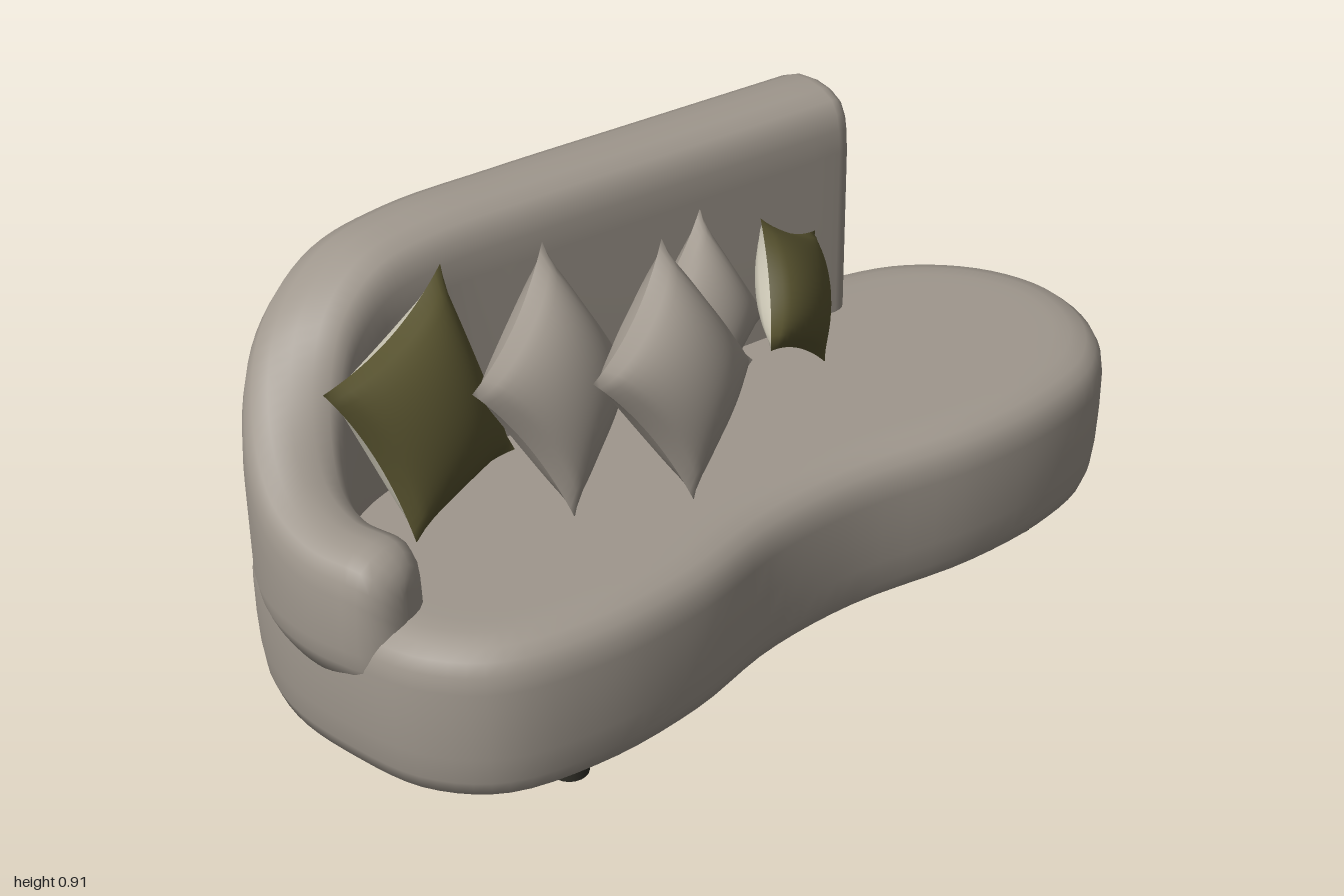
import * as THREE from 'three';

const V3 = (x, y, z) => new THREE.Vector3(x, y, z);

// Skin a list of closed rings and cap both ends
function loft(rings) {
  const n = rings[0].length, m = rings.length, index = [];
  const centre = (ring) => ring.reduce((s, p) => s.add(p), V3(0, 0, 0)).divideScalar(n);
  const points = [...rings.flat(), centre(rings[0]), centre(rings[m - 1])];
  for (let i = 0; i < n; i++) {
    const k = (i + 1) % n;
    for (let j = 0; j < m - 1; j++) {
      const a = j * n + i, b = j * n + k;
      index.push(a, a + n, b, b, a + n, b + n);
    }
    index.push(m * n, i, k, m * n + 1, (m - 1) * n + k, (m - 1) * n + i);
  }
  const g = new THREE.BufferGeometry().setFromPoints(points);
  g.setIndex(index);
  g.computeVertexNormals();
  return g;
}

// Kidney-shaped seat: plan outline, inset by a rounded side profile
function seatGeometry() {
  const plan = [
    [0.995, -0.03], [0.95, 0.15], [0.83, 0.275], [0.65, 0.335], [0.42, 0.352], [0.13, 0.325], [-0.1, 0.345],
    [-0.33, 0.41], [-0.57, 0.435], [-0.78, 0.4], [-0.9, 0.29], [-0.96, 0.12], [-0.985, -0.06], [-0.95, -0.22],
    [-0.85, -0.33], [-0.65, -0.39], [-0.3, -0.4], [0.2, -0.4], [0.6, -0.395], [0.8, -0.335], [0.94, -0.2],
  ];
  const profile = [
    [0.08, 0.045], [0.045, 0.046], [0.022, 0.056], [0.01, 0.09], [0.003, 0.15], [0, 0.22], [0, 0.3],
    [0.005, 0.335], [0.018, 0.36], [0.04, 0.378], [0.075, 0.388], [0.11, 0.39], [0.15, 0.39],
  ];
  const curve = new THREE.CatmullRomCurve3(plan.map(([x, z]) => V3(x, 0, z)), true);
  const count = 96;
  return loft(profile.map(([inset, y]) => Array.from({ length: count }, (_, i) => {
    const p = curve.getPoint(i / count), t = curve.getTangent(i / count);
    return V3(p.x - t.z * inset, y, p.z + t.x * inset);
  })));
}

// Backrest sweeping round into a low arm; the path's y is the top height
function backGeometry() {
  const path = new THREE.CatmullRomCurve3([
    [0.5, 0.905, -0.324], [0.1, 0.905, -0.325], [-0.25, 0.905, -0.325], [-0.5, 0.9, -0.322], [-0.66, 0.875, -0.3],
    [-0.79, 0.8, -0.24], [-0.87, 0.68, -0.155], [-0.908, 0.57, -0.05], [-0.905, 0.533, 0.05], [-0.878, 0.528, 0.135],
  ].map((p) => V3(...p)));
  const bottom = 0.255;

  const ring = (t, extend, inset) => {
    const p = path.getPoint(t), dir = path.getTangent(t).setY(0).normalize();
    const blend = THREE.MathUtils.clamp((p.y - 0.53) / 0.375, 0, 1);
    const w = THREE.MathUtils.lerp(0.088, 0.111, blend) - inset, top = p.y - inset;
    const half = [
      [0.78, bottom], [0.93, bottom + 0.04], [1, bottom + 0.08], [1, top - 0.13], [0.97, top - 0.08],
      [0.9, top - 0.047], [0.74, top - 0.02], [0.42, top - 0.005],
    ];
    const section = [...half, [0, top], ...half.slice().reverse().map(([u, y]) => [-u, y])];
    return section.map(([u, y]) => V3(
      p.x + dir.x * extend - dir.z * u * w, y, p.z + dir.z * extend + dir.x * u * w));
  };

  const rings = [], steps = 5, count = 54;
  const round = (t, r, sign, k) => {
    const a = (k / steps) * Math.PI / 2;
    rings.push(ring(t, sign * r * Math.sin(a), r * (1 - Math.cos(a))));
  };
  for (let k = steps; k > 0; k--) round(0, 0.045, -1, k);
  for (let i = 0; i <= count; i++) rings.push(ring(i / count, 0, 0));
  for (let k = 1; k <= steps; k++) round(1, 0.075, 1, k);
  return loft(rings);
}

// One puffed half of a pillow stretched between four corners; side is 1 front, -1 back
function pillowHalf([tl, tr, br, bl], thickness, side) {
  const mix = (a, b, c, d) => V3(0, 0, 0).addScaledVector(tl, a).addScaledVector(tr, b)
    .addScaledVector(br, c).addScaledVector(bl, d).multiplyScalar(0.25);
  const centre = mix(1, 1, 1, 1), right = mix(-1, 1, 1, -1), up = mix(1, 1, -1, -1), twist = mix(-1, 1, -1, 1);
  const normal = right.clone().cross(up).normalize().multiplyScalar(side * thickness);
  const g = new THREE.PlaneGeometry(2, 2, 18, 18), pos = g.attributes.position;
  for (let i = 0; i < pos.count; i++) {
    const a = pos.getX(i) * side, b = pos.getY(i);
    const u = a * (1 - 0.13 * a * a * (1 - b * b)), v = b * (1 - 0.13 * b * b * (1 - a * a));
    const puff = Math.pow(Math.max(0, (1 - a * a) * (1 - b * b)), 0.6);
    const p = centre.clone().addScaledVector(right, u).addScaledVector(up, v)
      .addScaledVector(twist, u * v).addScaledVector(normal, puff);
    pos.setXYZ(i, p.x, p.y, p.z);
  }
  g.computeVertexNormals();
  return g;
}

export function createModel() {
  const material = (name, color) => {
    const m = new THREE.MeshStandardMaterial({ color });
    m.name = name;
    return m;
  };
  const fabric = material('greyFabric', 0x9f978d);
  const olive = material('oliveFabric', 0x58532f);
  const cream = material('creamFabric', 0xd0cbb9);
  const dark = material('darkWood', 0x2f2e27);

  const model = new THREE.Group();
  model.name = 'sofa';
  const add = (parent, name, geometry, mat) => {
    const mesh = new THREE.Mesh(geometry, mat);
    mesh.name = name;
    parent.add(mesh);
    return mesh;
  };

  add(model, 'seat', seatGeometry(), fabric);
  add(model, 'backrestAndArm', backGeometry(), fabric);

  // Pillows: corners run top left, top right, bottom right, bottom left
  const pillows = [
    ['leftOlivePillow', 0.09, olive, cream,
      [[-0.845, 0.73, -0.07], [-0.5, 0.835, -0.205], [-0.41, 0.43, -0.11], [-0.71, 0.388, 0]]],
    ['leftGreyPillow', 0.09, fabric, fabric,
      [[-0.6, 0.7, 0.05], [-0.315, 0.855, -0.13], [-0.14, 0.52, -0.085], [-0.42, 0.388, 0.11]]],
    ['frontGreyPillow', 0.095, fabric, fabric,
      [[-0.4, 0.7, 0.155], [-0.125, 0.855, 0], [0.07, 0.535, 0.04], [-0.2, 0.388, 0.2]]],
    ['middleGreyPillow', 0.075, fabric, fabric,
      [[-0.14, 0.6, -0.09], [0.13, 0.755, -0.215], [0.225, 0.53, -0.11], [-0.03, 0.388, 0]]],
    ['rightOlivePillow', 0.065, olive, cream,
      [[0.105, 0.55, 0.055], [0.19, 0.765, -0.09], [0.43, 0.615, -0.205], [0.345, 0.388, -0.06]]],
  ];
  for (const [name, thickness, front, back, points] of pillows) {
    const pillow = new THREE.Group(), corners = points.map((p) => V3(...p));
    pillow.name = name;
    add(pillow, 'pillowFront', pillowHalf(corners, thickness, 1), front);
    add(pillow, 'pillowBack', pillowHalf(corners, thickness, -1), back);
    model.add(pillow);
  }

  // Short round feet
  const foot = new THREE.CylinderGeometry(0.04, 0.038, 0.055, 20);
  for (const [x, z] of [[-0.67, -0.265], [-0.6, 0.335], [0.655, -0.235], [0.655, 0.225]]) {
    add(model, 'foot', foot, dark).position.set(x, 0.0275, z);
  }
  return model;
}
